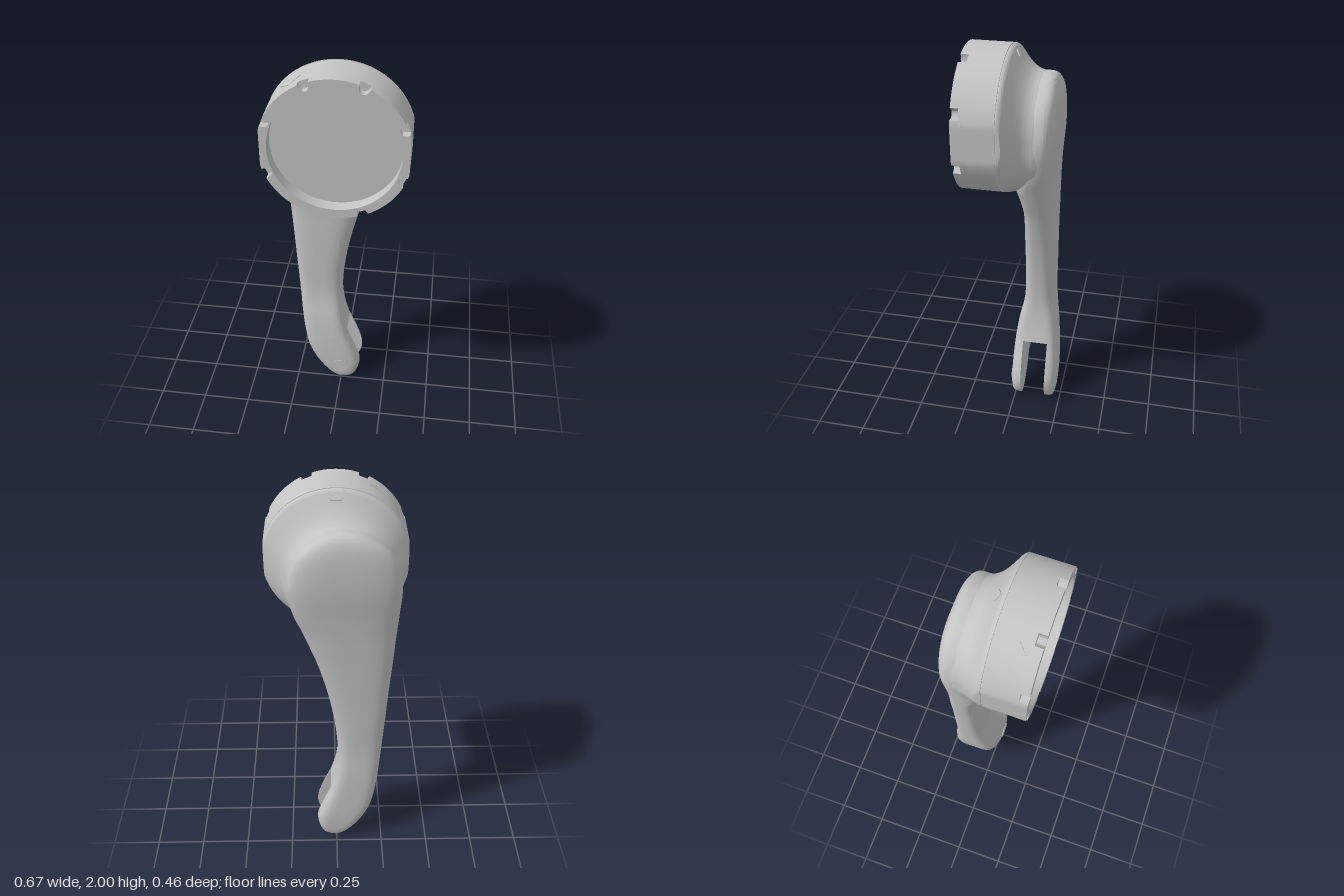
import * as THREE from 'three';
import { toCreasedNormals } from 'three/addons/utils/BufferGeometryUtils.js';

const HEAD_Y = 1.6535, HEAD_R = 0.3465, FLAT_X = 0.335;
const SLOT_FRONT = -0.037, SLOT_BACK = -0.17;

// Skin a list of equal-length closed rings and cap both ends
function loft(rings, crease = 0.75) {
  const n = rings[0].length, pos = [], idx = [];
  rings.forEach(r => r.forEach(p => pos.push(p.x, p.y, p.z)));
  for (let i = 0; i < rings.length - 1; i++)
    for (let j = 0; j < n; j++) {
      const k = (j + 1) % n, a = i * n + j, b = i * n + k;
      idx.push(a, b, a + n, b, b + n, a + n);
    }
  [0, rings.length - 1].forEach((i, end) => {
    const c = new THREE.Vector3();
    rings[i].forEach(p => c.addScaledVector(p, 1 / n));
    const ci = pos.length / 3;
    pos.push(c.x, c.y, c.z);
    for (let j = 0; j < n; j++) {
      const a = i * n + j, b = i * n + (j + 1) % n;
      if (end) idx.push(ci, a, b); else idx.push(ci, b, a);
    }
  });
  const g = new THREE.BufferGeometry();
  g.setAttribute('position', new THREE.Float32BufferAttribute(pos, 3));
  g.setIndex(idx);
  return toCreasedNormals(g, crease);
}

// Drum outline: circle with two flat sides, optionally with eight edge notches
function drumShape(r, notched, hole) {
  const radius = a => Math.min(r, (FLAT_X - HEAD_R + r) / Math.max(Math.abs(Math.cos(a)), 0.01));
  const pts = [], half = 0.075;
  const at = (a, d) => pts.push(new THREE.Vector2(Math.cos(a) * (radius(a) - d), Math.sin(a) * (radius(a) - d)));
  for (let k = 0; k < 8; k++) {
    const mid = Math.PI / 8 + k * Math.PI / 4;
    if (notched) {
      at(mid - half, 0);
      for (let i = 0; i <= 6; i++) {
        const s = i / 3 - 1;
        at(mid + s * half * 0.9, 0.018 + 0.018 * Math.sqrt(1 - s * s));
      }
      at(mid + half, 0);
    } else for (let i = 0; i < 6; i++) at(mid - half + i * half * 2 / 5, 0);
    for (let i = 1; i < 12; i++) at(mid + half + (Math.PI / 4 - 2 * half) * i / 12, 0);
  }
  const shape = new THREE.Shape(pts);
  if (hole) shape.holes.push(new THREE.Path().absarc(0, 0, hole, 0, Math.PI * 2, true));
  return shape;
}

// Handle stations, top to bottom: left x, left y, right x, right y, front z, back z
const STATIONS = [
  [-0.058, 1.872, -0.012, 1.872, -0.112, -0.148],
  [-0.125, 1.857, 0.055, 1.857, -0.085, -0.175],
  [-0.204, 1.811, 0.134, 1.811, -0.063, -0.197],
  [-0.263, 1.741, 0.193, 1.741, -0.052, -0.208],
  [-0.298, 1.61, 0.228, 1.61, -0.045, -0.212],
  [-0.293, 1.45, 0.203, 1.45, -0.025, -0.201],
  [-0.288, 1.35, 0.165, 1.35, 0.003, -0.196],
  [-0.281, 1.27, 0.134, 1.27, -0.014, -0.194],
  [-0.275, 1.18, 0.1, 1.18, -0.03, -0.192],
  [-0.262, 1.0, 0.05, 1.0, -0.031, -0.19],
  [-0.25, 0.8, 0.012, 0.8, -0.031, -0.19],
  [-0.235, 0.59, -0.005, 0.61, -0.028, -0.192],
  [-0.219, 0.40, 0.004, 0.48, 0, -0.208],
  [-0.192, 0.238, 0.031, 0.36, 0.016, -0.22],
  [-0.157, 0.152, 0.077, 0.24, 0.021, -0.227],
  [-0.113, 0.085, 0.106, 0.14, 0.021, -0.228],
  [-0.064, 0.034, 0.1, 0.08, 0.017, -0.225],
  [-0.02, 0.01, 0.08, 0.037, 0.008, -0.216],
  [0.012, 0.002, 0.05, 0.012, -0.012, -0.198],
];
const SLOT_STATION = 13;
const leftEdge = new THREE.CatmullRomCurve3(STATIONS.map(s => new THREE.Vector3(s[0], s[1], s[4])));
const rightEdge = new THREE.CatmullRomCurve3(STATIONS.map(s => new THREE.Vector3(s[2], s[3], s[5])));

// Rounded-box cross-sections between two stations, cut off at zMin and zMax for the fork prongs
function handlePiece(from, to, zMin = -1, zMax = 1) {
  const rings = [], steps = (to - from) * 5, n = 96;
  for (let i = 0; i <= steps; i++) {
    const station = from + (to - from) * i / steps, t = station / (STATIONS.length - 1);
    const l = leftEdge.getPoint(t), r = rightEdge.getPoint(t);
    const mid = (l.z + r.z) / 2, depth = (l.z - r.z) / 2, ring = [];
    // sections grow squarer towards the fork
    const power = 3 + 1.5 * THREE.MathUtils.smoothstep(station, 10, SLOT_STATION);
    const pw = v => Math.sign(v) * Math.abs(v) ** (2 / power);
    for (let j = 0; j < n; j++) {
      const a = j / n * Math.PI * 2, z = mid + pw(Math.sin(a)) * depth;
      const cut = THREE.MathUtils.clamp(z, zMin, zMax);
      // points past the cut stay within the section's width at the cut
      const w = Math.min(1, Math.abs(cut - mid) / depth);
      const limit = cut === z ? 1 : (1 - w ** power) ** (1 / power);
      const u = THREE.MathUtils.clamp(pw(Math.cos(a)), -limit, limit);
      ring.push(new THREE.Vector3(
        (l.x + r.x) / 2 + u * (r.x - l.x) / 2, (l.y + r.y) / 2 + u * (r.y - l.y) / 2, cut));
    }
    rings.push(ring);
  }
  return loft(rings);
}

// Flared shoulder: rings blend from the round drum to the handle's rounded top, fuller below
function shoulderGeometry() {
  const profile = new THREE.SplineCurve([
    [-0.15, 1.15], [-0.12, 1.02], [-0.09, 0.95], [-0.06, 0.8], [-0.03, 0.54], [0, 0.2], [0.014, 0.05], [0.028, 0],
  ].map(p => new THREE.Vector2(...p)));
  const rings = profile.getPoints(35).map(({ x: z, y: t }) => {
    const cx = -0.035 * t, cy = HEAD_Y - 0.0435 * t;
    return Array.from({ length: 96 }, (_, j) => {
      const a = j / 96 * Math.PI * 2;
      const r = HEAD_R - 0.0845 * t + 0.042 * t * Math.max(0, -Math.sin(a));
      return new THREE.Vector3(
        THREE.MathUtils.clamp(cx + r * Math.cos(a), -FLAT_X, FLAT_X), cy + r * Math.sin(a), z);
    });
  });
  return loft(rings);
}

export function createModel() {
  const model = new THREE.Group();
  const grey = new THREE.MeshStandardMaterial({ color: 0xc4c4c4 });
  grey.name = 'grey';
  const add = (name, geometry) => {
    const m = new THREE.Mesh(geometry, grey);
    m.name = name;
    model.add(m);
    return m;
  };
  const slab = (shape, depth) =>
    new THREE.ExtrudeGeometry(shape, { depth, bevelEnabled: false, curveSegments: 48 });
  const drumLayer = (name, z0, z1, r, notched, hole) =>
    add(name, toCreasedNormals(slab(drumShape(r, notched, hole), z1 - z0), 0.5)).position.set(0, HEAD_Y, z0);

  // Round head with groove, recessed face and notched rim
  drumLayer('headGroove', 0.02, 0.04, HEAD_R - 0.006, false);
  drumLayer('headDrum', 0.034, 0.17, HEAD_R, false);
  drumLayer('recessWall', 0.17, 0.195, HEAD_R, false, 0.302);
  drumLayer('notchedRim', 0.195, 0.233, HEAD_R, true, 0.302);
  add('shoulder', shoulderGeometry());

  // Handle and its forked end
  const last = STATIONS.length - 1;
  add('handle', handlePiece(0, SLOT_STATION));
  add('frontProng', handlePiece(SLOT_STATION, last, SLOT_FRONT, 1));
  add('backProng', handlePiece(SLOT_STATION, last, -1, SLOT_BACK));

  // Pivot pin end on the front prong
  const pin = add('pivotPin', new THREE.CylinderGeometry(0.045, 0.045, 0.009, 32));
  pin.rotation.x = Math.PI / 2;
  pin.position.set(0, 0.112, 0.0205);

  // Triangular markers on the drum and on the shoulder
  const triangle = (w, h) => new THREE.Shape([
    new THREE.Vector2(-w, h), new THREE.Vector2(0, -h), new THREE.Vector2(w, h)]);
  const holder = new THREE.Group();
  holder.name = 'drumMarkerHolder';
  holder.position.y = HEAD_Y;
  holder.rotation.z = Math.asin(0.2 / HEAD_R);
  const marker = add('drumMarker', slab(triangle(0.053, 0.022), 0.007));
  marker.rotation.x = -Math.PI / 2;
  marker.position.set(0, HEAD_R - 0.006, 0.157);
  holder.add(marker);
  model.add(holder);
  const arrow = add('shoulderMarker', slab(triangle(0.028, 0.014), 0.005));
  arrow.rotation.x = -Math.PI / 2 - 0.9;
  arrow.position.set(0, 1.972, -0.004);

  return model;
}
